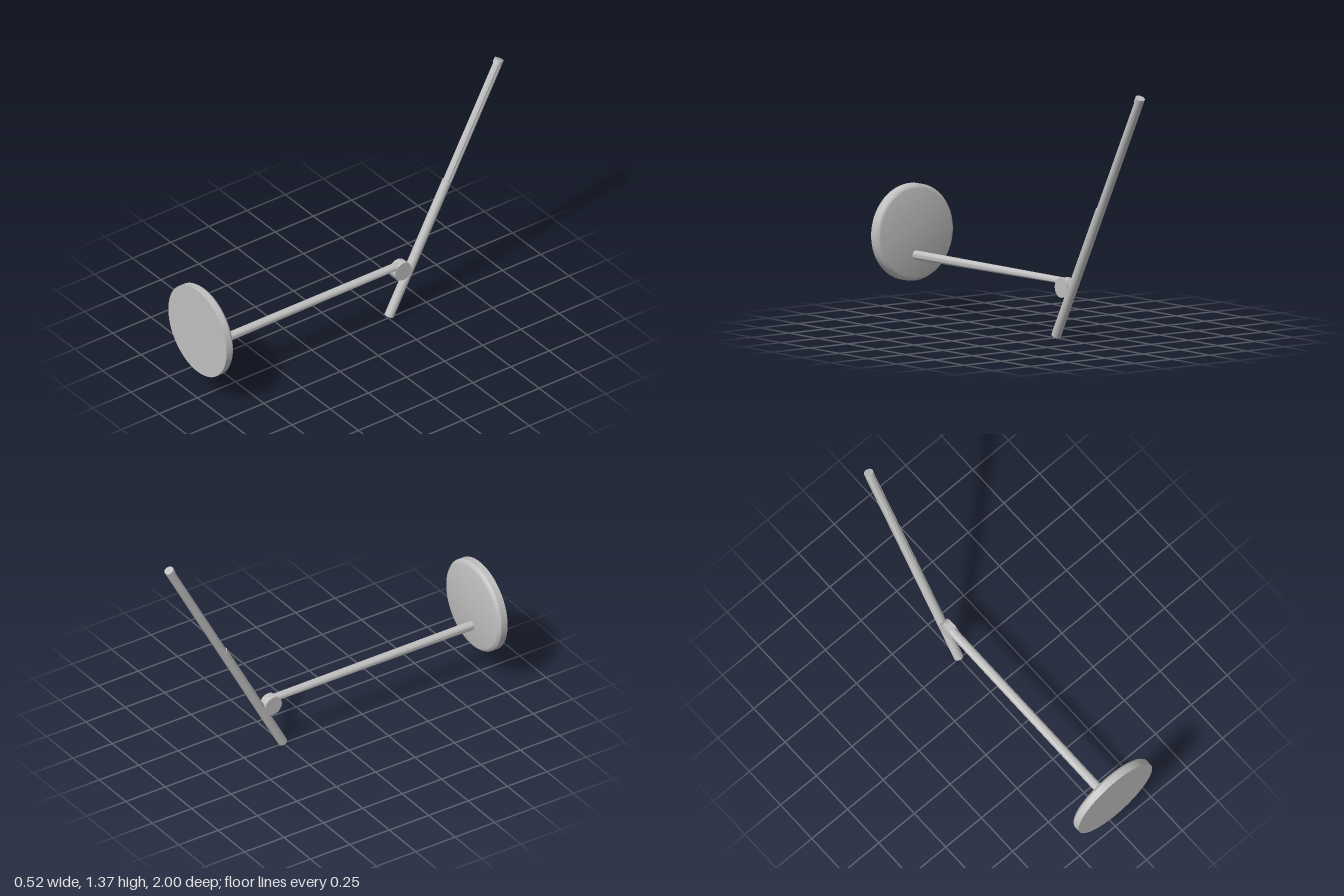
import * as THREE from 'three';
import { toCreasedNormals } from 'three/addons/utils/BufferGeometryUtils.js';

export function createModel() {
  const model = new THREE.Group();
  const metal = new THREE.MeshStandardMaterial({ color: 0xc0c0c0 });
  metal.name = 'satin metal';

  const add = (name, geometry, parent = model) => {
    const mesh = new THREE.Mesh(geometry, metal);
    mesh.name = name;
    parent.add(mesh);
    return mesh;
  };

  // Round wall plate with a softened inner edge
  const profile = [[0, 0], [0.236, 0], [0.243, 0.002], [0.249, 0.006], [0.258, 0.017], [0.258, 0.055], [0, 0.055]]
    .map(([r, y]) => new THREE.Vector2(r, y));
  const plate = add('wallPlate', toCreasedNormals(new THREE.LatheGeometry(profile, 96), 0.5));
  plate.rotation.x = Math.PI / 2;
  plate.position.set(0, 0.425, 0.945);

  // Horizontal arm: the underside tapers slightly towards the hinge
  const armLength = 1.3;
  const armGeometry = new THREE.CylinderGeometry(0.025, 0.025, armLength, 40, 12);
  armGeometry.rotateX(Math.PI / 2);
  const p = armGeometry.attributes.position;
  for (let i = 0; i < p.count; i++) {
    if (p.getY(i) < 0) {
      const toHinge = 0.5 - p.getZ(i) / armLength;
      p.setY(i, p.getY(i) * (1 - 0.65 * toHinge));
    }
  }
  const arm = add('arm', toCreasedNormals(armGeometry, 0.6));
  arm.position.set(0, 0.305, 0.955 - armLength / 2);

  // Rounded arm end and the hinge drum
  const armEnd = add('armEnd', new THREE.SphereGeometry(0.025, 32, 16));
  armEnd.position.set(0, 0.305, -0.345);
  const hinge = add('hinge', new THREE.CylinderGeometry(0.053, 0.053, 0.052, 48));
  hinge.rotation.z = Math.PI / 2;
  hinge.position.set(0, 0.278, -0.33);

  // Leaning tube, built upright along y and then tilted back
  const tube = new THREE.Group();
  tube.name = 'leaningTube';
  const rise = 1.3455, run = 0.722, length = Math.hypot(rise, run);
  tube.position.set(0, 0.0125, -0.255);
  tube.rotation.x = -Math.atan2(run, rise);
  model.add(tube);

  const radius = 0.026;
  const stepAt = 0.528 * length, capAt = 0.982 * length;
  const section = (name, from, to) => {
    const mesh = add(name, new THREE.CylinderGeometry(radius, radius, to - from, 40), tube);
    mesh.position.y = (from + to) / 2;
  };
  section('lowerTube', 0, stepAt);
  section('tubeCap', capAt, length);

  // Upper section: full radius behind, slightly recessed in front
  const outline = new THREE.Shape();
  outline.absarc(0, 0, radius, 0, Math.PI, false);
  outline.absarc(0, 0, radius - 0.004, Math.PI, Math.PI * 2, false);
  const upperGeometry = new THREE.ExtrudeGeometry(outline, {
    depth: capAt - stepAt, bevelEnabled: false, curveSegments: 24,
  });
  const upper = add('recessedUpperTube', toCreasedNormals(upperGeometry, 0.6), tube);
  upper.rotation.x = -Math.PI / 2;
  upper.position.y = stepAt;

  return model;
}
